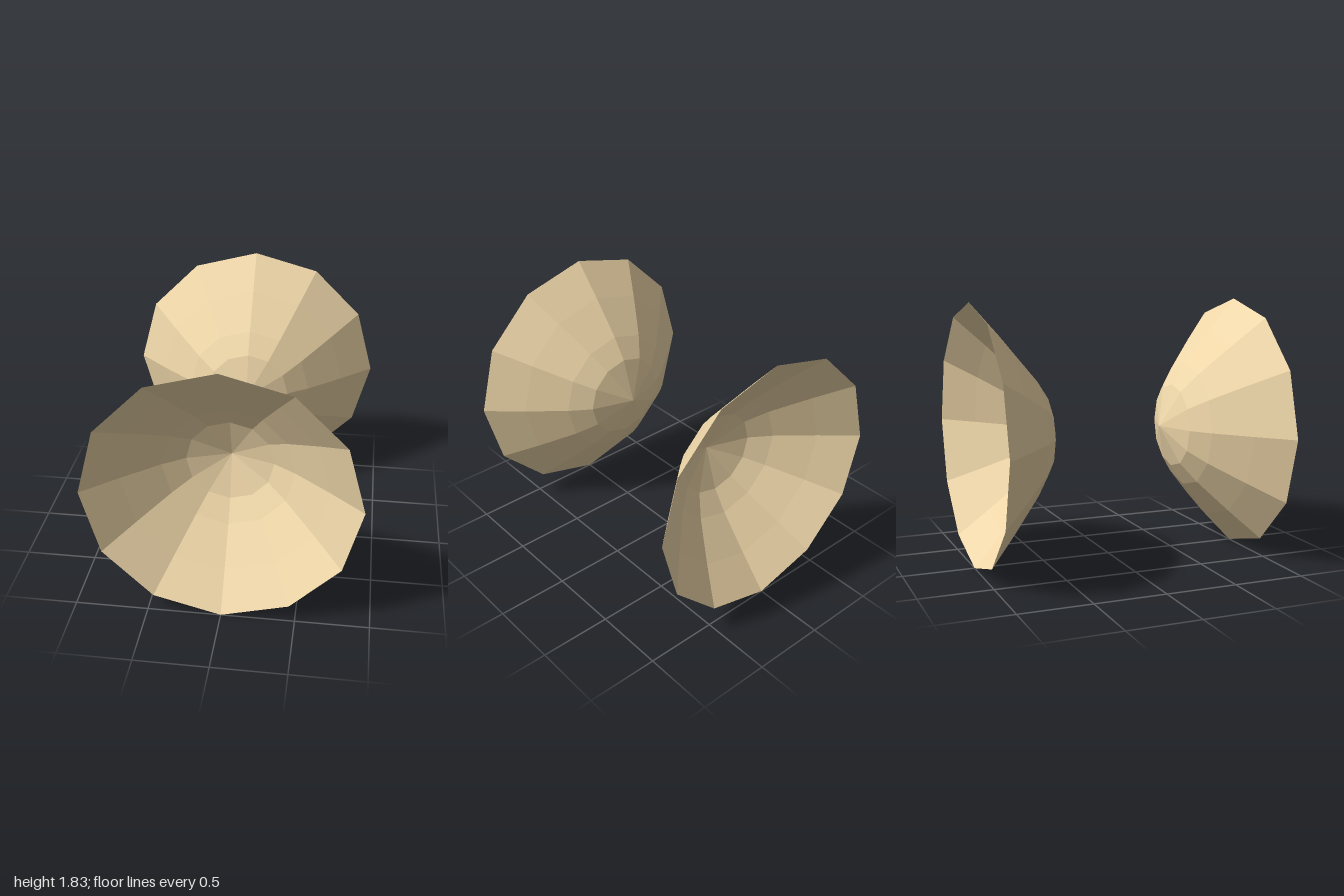
import * as THREE from 'three';

const SIDES = 12;
const RIM_RADIUS = 0.916;

// radius and distance from the centre, from the tip out to the open rim
const PROFILE = [[0, 0.4], [0.3, 0.5], [0.45, 0.6], [0.69, 0.8], [RIM_RADIUS, 1]];

export function createModel() {
  const model = new THREE.Group();
  model.name = 'facingCones';

  const material = new THREE.MeshStandardMaterial({
    color: 0xf0d8aa,
    flatShading: true,
    side: THREE.DoubleSide, // thin open shells
  });
  const points = PROFILE.map(([r, d]) => new THREE.Vector2(r, d));
  const geometry = new THREE.LatheGeometry(points, SIDES);

  // two flared shells, tip to tip along z
  for (const [name, sign] of [['frontCone', 1], ['backCone', -1]]) {
    const cone = new THREE.Mesh(geometry, material);
    cone.name = name;
    cone.rotation.x = sign * Math.PI / 2;
    cone.position.y = RIM_RADIUS;
    model.add(cone);
  }
  return model;
}
